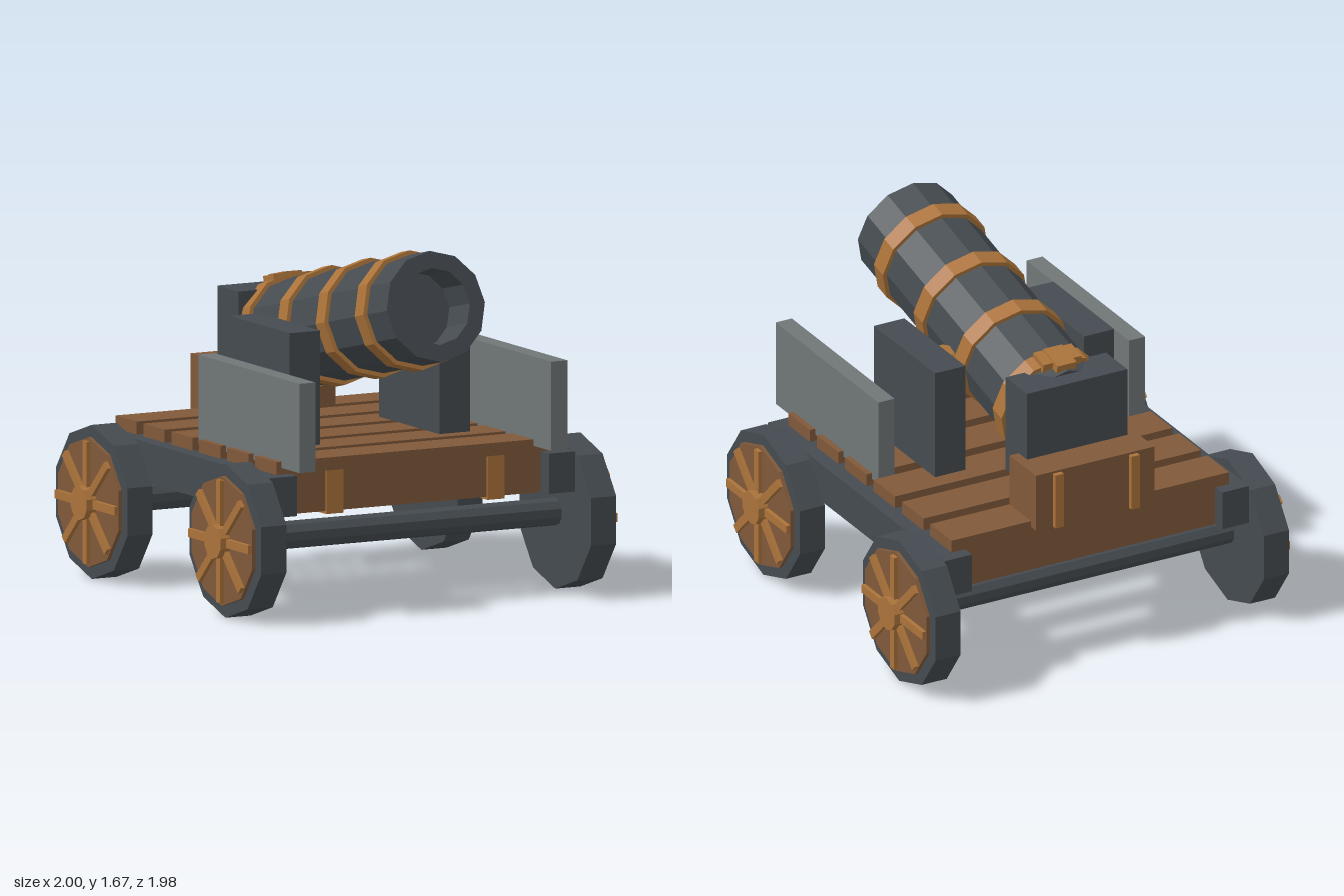
import * as THREE from 'three';

export function createModel() {
  const mat = (name, color) => {
    const m = new THREE.MeshStandardMaterial({ color });
    m.name = name;
    return m;
  };
  const iron = mat('dark iron', 0x454b50);
  const wood = mat('brown wood', 0x80593a);
  const trim = mat('light wood', 0xab733a);
  const steel = mat('grey steel', 0x707677);

  const root = new THREE.Group();
  root.name = 'cannon';

  // Faceted mesh: every face gets its own normal
  const add = (parent, name, geometry, material) => {
    const g = geometry.index ? geometry.toNonIndexed() : geometry;
    g.computeVertexNormals();
    const mesh = new THREE.Mesh(g, material);
    mesh.name = name;
    parent.add(mesh);
    return mesh;
  };
  // Box given by its limits on each axis
  const box = (parent, name, material, x0, x1, y0, y1, z0, z1) => {
    const g = new THREE.BoxGeometry(x1 - x0, y1 - y0, z1 - z0);
    g.translate((x0 + x1) / 2, (y0 + y1) / 2, (z0 + z1) / 2);
    return add(parent, name, g, material);
  };
  // Cylinder along x with a corner at the top
  const rod = (parent, name, material, r, x0, x1, y, z, sides = 10) => {
    const g = new THREE.CylinderGeometry(r, r, x1 - x0, sides, 1, false, Math.PI / 2);
    g.rotateZ(Math.PI / 2);
    g.translate((x0 + x1) / 2, y, z);
    return add(parent, name, g, material);
  };
  const group = (parent, name) => {
    const g = new THREE.Group();
    g.name = name;
    parent.add(g);
    return g;
  };

  // Bed: planks, end beams and beam straps
  const bed = group(root, 'bed');
  for (let i = 0; i < 6; i++) {
    const z = -0.685 + i * 0.265;
    box(bed, 'plank', wood, -0.73, 0.73, 0.67, 0.73, z - 0.101, z + 0.101);
  }
  box(bed, 'frontBeam', wood, -0.66, 0.66, 0.48, 0.67, 0.53, 0.73);
  box(bed, 'backBeam', wood, -0.66, 0.66, 0.48, 0.67, -0.78, -0.59);

  // Breech rest: wooden crate with an iron block on it
  const rest = group(root, 'breechRest');
  box(rest, 'crate', wood, -0.312, 0.312, 0.7, 0.98, -0.83, -0.585);
  box(rest, 'breechBlock', iron, -0.264, 0.264, 0.845, 1.315, -0.662, -0.462);

  // Parts mirrored left and right
  for (const s of [-1, 1]) {
    const side = (parent, name, m, x0, x1, ...rest) =>
      box(parent, name, m, Math.min(s * x0, s * x1), Math.max(s * x0, s * x1), ...rest);
    side(bed, 'sideRail', iron, 0.66, 0.8, 0.483, 0.67, -0.85, 0.81);
    side(bed, 'beamStrap', trim, 0.377, 0.467, 0.467, 0.672, 0.518, 0.739);
    side(rest, 'crateStrap', trim, 0.178, 0.222, 0.7, 0.97, -0.855, -0.825);
    side(root, 'cheek', iron, 0.312, 0.472, 0.73, 1.26, -0.17, 0.4);
    side(root, 'shield', steel, 0.617, 0.702, 0.7, 1.115, -0.05, 0.91);
  }
  rod(root, 'trunnion', trim, 0.092, -0.33, 0.33, 1.15, 0.085);

  // Axles and wheels
  for (const z of [0.62, -0.65]) {
    rod(root, 'axle', iron, 0.065, -0.82, 0.82, 0.365, z);
    for (const s of [-1, 1]) {
      const wheel = group(root, 'wheel');
      wheel.position.set(0, 0.363, z);
      if (s < 0) wheel.rotation.y = Math.PI;
      rod(wheel, 'rim', iron, 0.358, 0.798, 0.93, 0, 0);
      rod(wheel, 'disc', wood, 0.302, 0.92, 0.948, 0, 0);
      for (let i = 0; i < 4; i++) {
        const spoke = box(wheel, 'spokePair', trim, 0.93, 0.968, -0.285, 0.285, -0.02, 0.02);
        spoke.rotation.x = (i * Math.PI) / 4;
      }
      rod(wheel, 'hub', trim, 0.08, 0.93, 0.998, 0, 0);
    }
  }

  // Barrel: origin at the muzzle, local +y along the bore, local -z is up
  const barrel = group(root, 'barrel');
  barrel.position.set(0, 1.423, 0.933);
  barrel.rotation.x = THREE.MathUtils.degToRad(76.8);
  const lathe = (name, material, points) =>
    add(barrel, name, new THREE.LatheGeometry(points.map(p => new THREE.Vector2(...p)), 12), material);
  lathe('tube', iron, [
    [0, -1.49], [0.257, -1.49], [0.257, 0], [0.178, 0], [0.178, -0.2], [0, -0.2],
  ]);
  for (const t of [0.234, 0.614, 0.994, 1.374]) {
    lathe('band', trim, [
      [0.24, -t - 0.043], [0.277, -t - 0.043], [0.277, -t + 0.043], [0.24, -t + 0.043],
    ]);
  }
  // Vent cover on the breech, stepped towards the back
  box(barrel, 'ventCover', trim, -0.05, 0.05, -1.475, -1.335, -0.285, -0.23);
  box(barrel, 'ventPlate', trim, -0.1, 0.1, -1.435, -1.335, -0.277, -0.22);

  return root;
}
